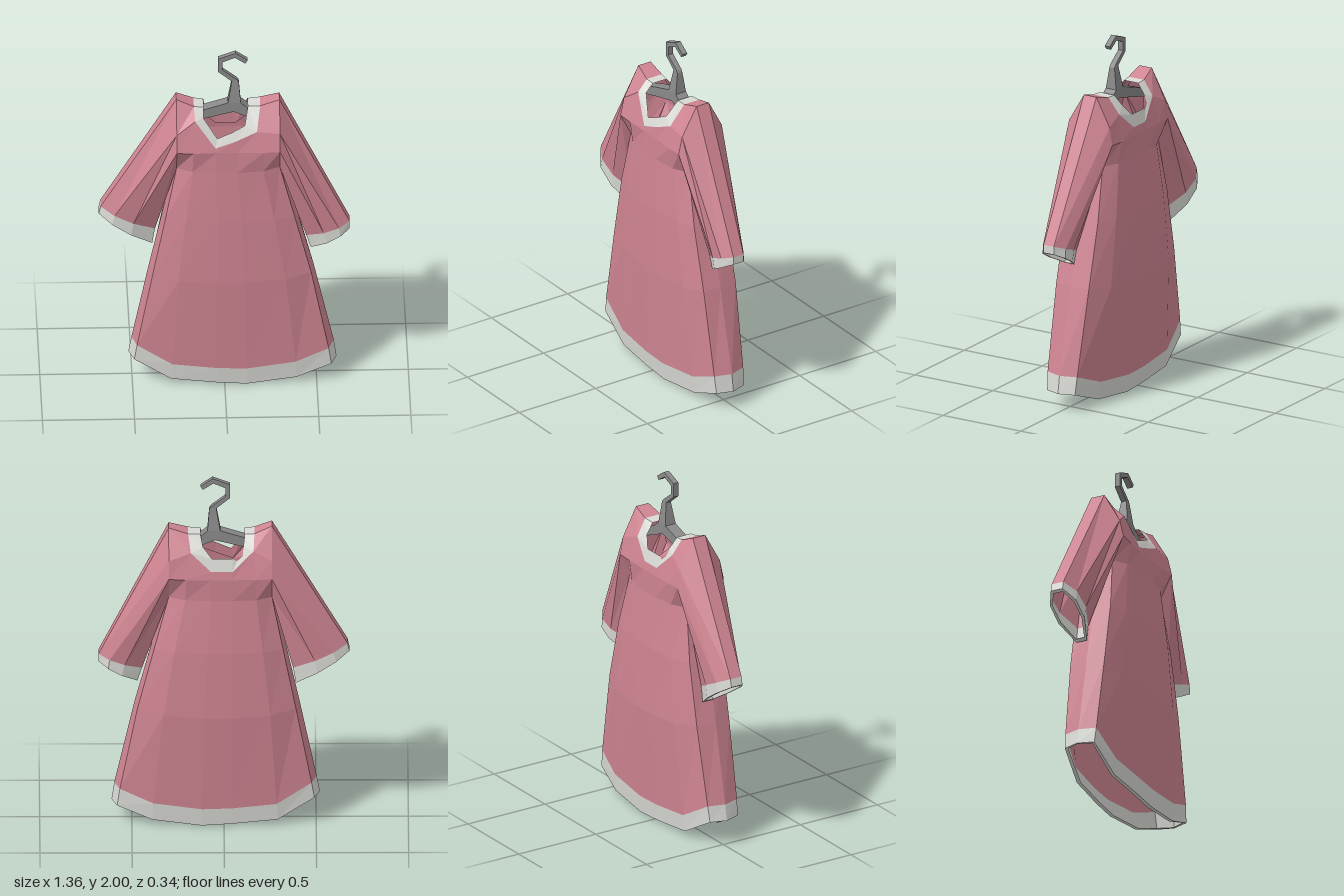
import * as THREE from 'three';

const pink = new THREE.MeshStandardMaterial({ color: 0xcf8592, flatShading: true, side: THREE.DoubleSide });
pink.name = 'pinkCloth';
const trim = new THREE.MeshStandardMaterial({ color: 0xd9d9d5, flatShading: true, side: THREE.DoubleSide });
trim.name = 'paleTrim';
const metal = new THREE.MeshStandardMaterial({ color: 0x8a8a8a, flatShading: true });
metal.name = 'greyHanger';

// Skin rows of points with quads; closed joins the last column to the first
function loft(rows, closed = false, flip = false) {
  const pos = [];
  const n = rows[0].length;
  for (let i = 0; i < rows.length - 1; i++) {
    for (let j = 0; j < (closed ? n : n - 1); j++) {
      const k = (j + 1) % n;
      const a = rows[i][j], b = rows[i][k], c = rows[i + 1][k], d = rows[i + 1][j];
      pos.push(...(flip ? [a, c, b, a, d, c] : [a, b, c, a, c, d]).flat());
    }
  }
  const g = new THREE.BufferGeometry();
  g.setAttribute('position', new THREE.Float32BufferAttribute(pos, 3));
  g.computeVertexNormals();
  return g;
}

// Pull a ring toward its centre to make a folded inner lip
function inset(ring, kx, ky, kz) {
  const c = [0, 1, 2].map((a) => ring.reduce((s, p) => s + p[a], 0) / ring.length);
  return ring.map((p) => [kx, ky, kz].map((k, a) => c[a] + (p[a] - c[a]) * k));
}

// Body ring: six front points, right side seam, six back points, left side seam
const ROUND = [0, 0.9, 1, 1, 0.9, 0];
function bodyRing({ xs, ys, sides, front, back }) {
  const face = ([edge, mid]) => xs.map((x, i) => [x, ys[i], ROUND[i] ? mid * ROUND[i] : edge]);
  return [
    ...face(front), [sides[1], ys[5], 0.01],
    ...face(back).reverse(), [sides[0], ys[0], 0.01],
  ];
}

const level = (y) => Array(6).fill(y);
const rings = [
  { xs: [-0.49, -0.29, -0.04, 0.12, 0.39, 0.58], ys: [0.145, 0.03, 0.01, 0, 0.03, 0.1], sides: [-0.52, 0.61], front: [0.1, 0.13], back: [-0.08, -0.125] },
  { xs: [-0.475, -0.285, -0.04, 0.12, 0.385, 0.565], ys: [0.235, 0.125, 0.105, 0.1, 0.13, 0.2], sides: [-0.503, 0.595], front: [0.105, 0.14], back: [-0.085, -0.135] },
  { xs: [-0.39, -0.25, -0.04, 0.11, 0.33, 0.47], ys: [0.68, 0.66, 0.65, 0.65, 0.66, 0.68], sides: [-0.41, 0.485], front: [0.11, 0.168], back: [-0.1, -0.172] },
  { xs: [-0.32, -0.21, -0.04, 0.09, 0.27, 0.38], ys: level(1.03), sides: [-0.332, 0.39], front: [0.11, 0.165], back: [-0.1, -0.165] },
  { xs: [-0.26, -0.175, -0.045, 0.07, 0.21, 0.3], ys: level(1.33), sides: [-0.26, 0.3], front: [0.09, 0.152], back: [-0.08, -0.14] },
].map(bodyRing);

// Armhole: from the top of the shoulder down the front and up the back
const armhole = (x, top) => [
  [top, 0.04], [1.56, 0.135], [1.46, 0.158], [1.33, 0.09],
  [1.33, -0.08], [1.46, -0.142], [1.56, -0.125], [top, -0.04],
].map(([y, z]) => [x, y, z]);
const holeL = armhole(-0.26, 1.73);
const holeR = armhole(0.3, 1.72);

// Neckline loops: front left to right, over the shoulder, back, over the shoulder
const neckOuter = [
  [-0.16, 1.63, 0.11], [-0.05, 1.48, 0.145], [0.06, 1.52, 0.142], [0.175, 1.57, 0.128],
  [0.195, 1.69, 0.05], [0.195, 1.69, -0.05],
  [0.18, 1.6, -0.11], [0.07, 1.5, -0.135], [-0.045, 1.5, -0.135], [-0.16, 1.61, -0.108],
  [-0.165, 1.69, -0.05], [-0.165, 1.69, 0.05],
];
const neckInner = [
  [-0.115, 1.64, 0.088], [-0.04, 1.53, 0.125], [0.04, 1.565, 0.122], [0.11, 1.6, 0.108],
  [0.128, 1.685, 0.045], [0.128, 1.685, -0.045],
  [0.115, 1.63, -0.09], [0.065, 1.57, -0.118], [-0.045, 1.57, -0.118], [-0.105, 1.63, -0.088],
  [-0.112, 1.685, -0.045], [-0.112, 1.685, 0.045],
];

// Cuff ring between its outer and inner ends
const CUFF = [[0, 0.45], [0.25, 1], [0.6, 1], [1, 0.4], [1, -0.4], [0.6, -1], [0.25, -1], [0, -0.45]];
const cuffRing = ([x0, y0], [x1, y1], z, half) =>
  CUFF.map(([u, w]) => [x0 + (x1 - x0) * u, y0 + (y1 - y0) * u, z + half * w]);

export function createModel() {
  const group = new THREE.Group();
  const add = (name, geometry, material) => {
    const m = new THREE.Mesh(geometry, material);
    m.name = name;
    group.add(m);
  };

  // Skirt and hem
  add('skirt', loft(rings.slice(1), true), pink);
  add('hem', loft([inset(rings[0], 0.98, 1, 0.82), rings[0], rings[1]], true), trim);

  // Chest and back panels, from armpit to neckline
  const pit = rings[4];
  const chestXs = [-0.17, -0.045, 0.07, 0.21];
  add('chest', loft([
    pit.slice(0, 6),
    [holeL[2], ...chestXs.map((x, i) => [x, 1.455, i % 3 ? 0.15 : 0.156]), holeR[2]],
    [holeL[1], ...neckOuter.slice(0, 4), holeR[1]],
  ]), pink);
  add('upperBack', loft([
    pit.slice(7, 13),
    [holeR[5], ...[...chestXs].reverse().map((x) => [x, 1.455, -0.142]), holeL[5]],
    [holeR[6], ...neckOuter.slice(6, 10), holeL[6]],
  ]), pink);

  // Shoulders, running over the top from front to back
  const over = (h) => [h[1], h[0], h[7], h[6]];
  add('rightShoulder', loft([over(holeL), [0, 11, 10, 9].map((i) => neckOuter[i])], false, false), pink);
  add('leftShoulder', loft([over(holeR), [3, 4, 5, 6].map((i) => neckOuter[i])], false, true), pink);

  // Collar band with cloth lining
  add('collar', loft([neckOuter, neckInner], true), trim);
  add('collarLining', loft([neckInner, inset(neckOuter, 0.97, 1, 0.92).map(([x, y, z]) => [x, y - 0.012, z])], true), pink);

  // Sleeves and cuffs
  [
    ['right', holeL, cuffRing([-0.67, 1.05], [-0.375, 0.905], -0.03, 0.08), cuffRing([-0.68, 1.005], [-0.39, 0.815], -0.03, 0.08), true],
    ['left', holeR, cuffRing([0.68, 0.965], [0.445, 0.88], 0.025, 0.073), cuffRing([0.68, 0.92], [0.47, 0.805], 0.025, 0.073), false],
  ].forEach(([side, hole, seam, end, flip]) => {
    add(side + 'Sleeve', loft([hole, seam], true, flip), pink);
    add(side + 'Cuff', loft([seam, end, inset(end, 0.88, 0.88, 0.8)], true, flip), trim);
  });

  // Hanger: arms, stem and hook in one outline, thinner toward the hook
  const outline = [
    [-0.22, 1.575], [-0.11, 1.605], [0.05, 1.645], [0.13, 1.61], [0.24, 1.565], [0.24, 1.61],
    [0.125, 1.67], [0.09, 1.7], [0.08, 1.82], [0.07, 1.835], [-0.008, 1.895], [-0.008, 1.945],
    [0.058, 1.972], [0.115, 1.935], [0.128, 1.955], [0.062, 2.0], [-0.032, 1.965], [-0.032, 1.885],
    [0.042, 1.825], [0.02, 1.7], [-0.11, 1.66], [-0.22, 1.62],
  ].map(([x, y]) => new THREE.Vector2(x, y));
  const hanger = new THREE.ExtrudeGeometry(new THREE.Shape(outline), { depth: 1, bevelEnabled: false });
  const p = hanger.attributes.position;
  for (let i = 0; i < p.count; i++) {
    const t = THREE.MathUtils.clamp((p.getY(i) - 1.7) / 0.12, 0, 1);
    p.setZ(i, (p.getZ(i) - 0.5) * THREE.MathUtils.lerp(0.066, 0.032, t));
  }
  hanger.computeVertexNormals();
  add('hanger', hanger, metal);

  return group;
}
